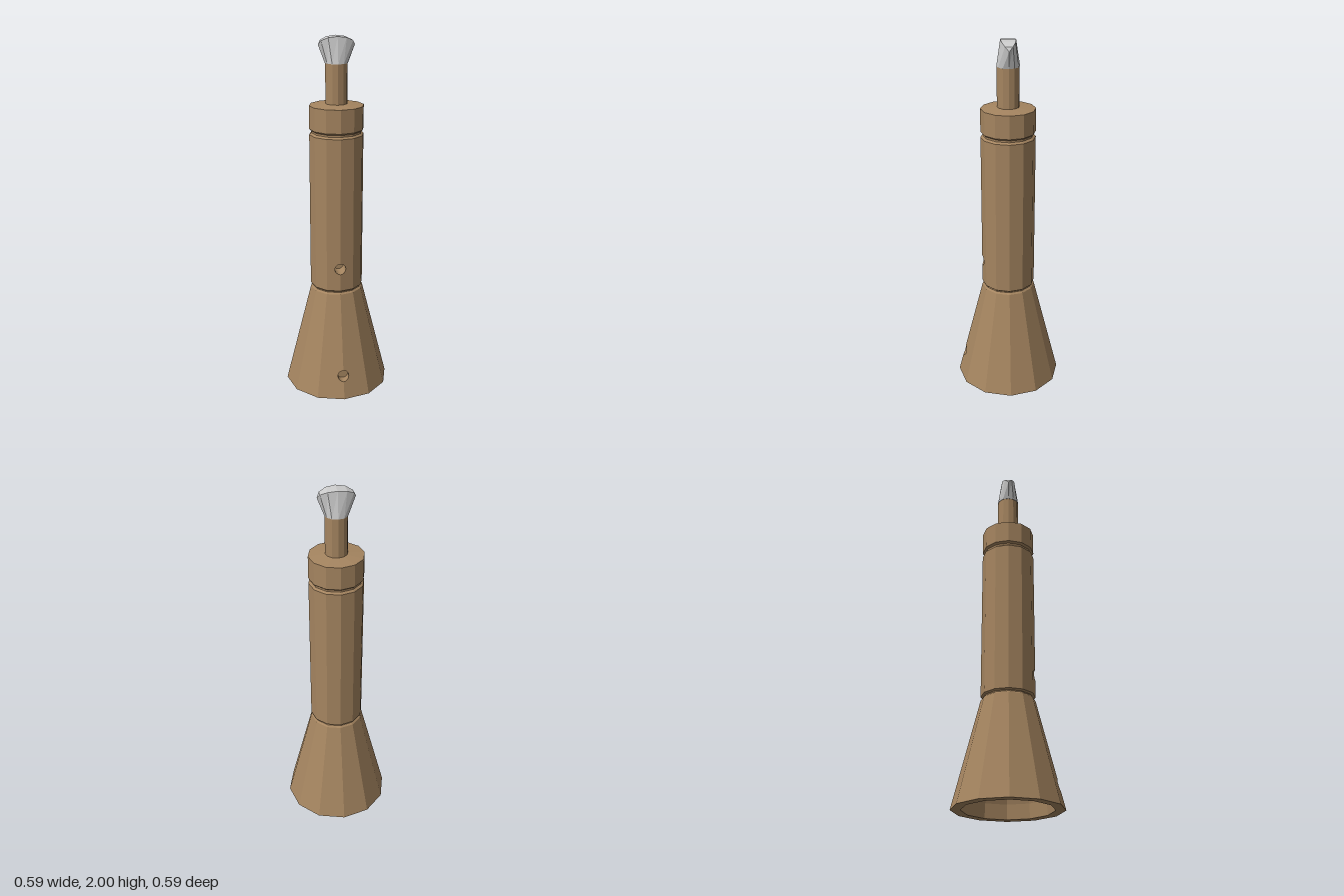
import * as THREE from 'three';

const wood = new THREE.MeshStandardMaterial({ color: 0xa58560 });
wood.name = 'wood';
const reedGrey = new THREE.MeshStandardMaterial({ color: 0xcccccc });
reedGrey.name = 'reedGrey';

const SIDES = 12;

// Mesh with one normal per face
function facetMesh(name, geometry, material) {
  const g = geometry.index ? geometry.toNonIndexed() : geometry;
  g.computeVertexNormals();
  const mesh = new THREE.Mesh(g, material);
  mesh.name = name;
  return mesh;
}

// Turned part; open leaves out the two front facets
function turned(name, profile, open = false) {
  const pts = profile.map(([r, y]) => new THREE.Vector2(r, y));
  const step = Math.PI * 2 / SIDES;
  const geo = open
    ? new THREE.LatheGeometry(pts, SIDES - 2, step, step * (SIDES - 2))
    : new THREE.LatheGeometry(pts, SIDES);
  return facetMesh(name, geo, wood);
}

// Faceted tube section whose front edge is drilled with a finger hole
function drilledSection(name, r0, y0, r1, y1, holeY, floorZ) {
  const group = new THREE.Group();
  group.name = name;
  const R = 0.031, HALF = 12;
  const surfaceZ = (x, y) =>
    r0 + (r1 - r0) * (y - y0) / (y1 - y0) - Math.abs(x) * Math.tan(Math.PI / SIDES);

  group.add(turned(name + 'Wall', [[r0, y0], [r1, y1]], true));

  // Two front facets, each with half of the hole cut out
  for (const s of [1, -1]) {
    const pts = [[0, y0], [r0 / 2, y0], [r1 / 2, y1], [0, y1]];
    for (let i = 0; i <= HALF; i++) {
      const a = Math.PI * i / HALF;
      pts.push([R * Math.sin(a), holeY + R * Math.cos(a)]);
    }
    const shape = new THREE.Shape(pts.map(([x, y]) => new THREE.Vector2(s * x, y)));
    const geo = new THREE.ShapeGeometry(shape);
    const p = geo.attributes.position;
    for (let i = 0; i < p.count; i++) p.setZ(i, surfaceZ(p.getX(i), p.getY(i)));
    group.add(facetMesh(name + 'FrontFacet', geo, wood));
  }

  // Inward-facing hole wall, trimmed to the facets, and its floor
  const bore = new THREE.CylinderGeometry(R, R, 1, HALF * 2, 1, true);
  bore.rotateX(Math.PI / 2).scale(-1, 1, 1).translate(0, holeY, 0);
  const p = bore.attributes.position;
  for (let i = 0; i < p.count; i++) {
    p.setZ(i, p.getZ(i) > 0 ? surfaceZ(p.getX(i), p.getY(i)) : floorZ);
  }
  group.add(facetMesh('fingerHoleWall', bore, wood));
  const floor = new THREE.CircleGeometry(R, HALF * 2).translate(0, holeY, floorZ);
  group.add(facetMesh('fingerHoleFloor', floor, wood));
  return group;
}

// Round at the bottom, flattened and arched at the top
function reed() {
  const pos = [];
  const bottom = [], top = [];
  for (let i = 0; i < SIDES; i++) {
    const a = Math.PI * 2 * i / SIDES;
    const s = Math.sin(a), c = Math.cos(a);
    bottom.push([0.062 * s, 1.86, 0.062 * c]);
    top.push([0.098 * s, 1.955 + 0.045 * Math.abs(c), 0.041 * c]);
  }
  const tri = (a, b, c) => pos.push(...a, ...b, ...c);
  const quad = (a, b, c, d) => { tri(a, b, c); tri(a, c, d); };
  for (let i = 0; i < SIDES; i++) {
    const j = (i + 1) % SIDES;
    quad(bottom[i], bottom[j], top[j], top[i]);
    tri([0, 1.86, 0], bottom[j], bottom[i]);
  }
  // Arched tip: strips from front to back
  const half = SIDES / 2;
  for (let i = -half / 2; i < half / 2; i++) {
    const front = k => top[(k + SIDES) % SIDES];
    const back = k => top[(half - k + SIDES) % SIDES];
    quad(front(i), front(i + 1), back(i + 1), back(i));
  }
  const geo = new THREE.BufferGeometry();
  geo.setAttribute('position', new THREE.Float32BufferAttribute(pos, 3));
  return facetMesh('reed', geo, reedGrey);
}

export function createModel() {
  const model = new THREE.Group();
  model.name = 'woodwindPipe';

  // Flared bell and long body, each with a finger hole
  model.add(drilledSection('bell', 0.297, 0, 0.149, 0.587, 0.13, 0.222));
  model.add(drilledSection('body', 0.149, 0.61, 0.149, 1.48, 0.74, 0.06));

  // Grooves between the sections
  model.add(turned('lowerGroove', [[0.149, 0.587], [0.139, 0.596], [0.139, 0.602], [0.149, 0.61]]));
  model.add(turned('upperGroove', [[0.149, 1.48], [0.137, 1.49], [0.137, 1.5], [0.149, 1.51]]));

  // Collar with a slightly domed top, then the stem
  model.add(turned('collar', [[0.149, 1.51], [0.149, 1.637], [0.06, 1.646]]));
  model.add(turned('stem', [[0.06, 1.64], [0.06, 1.862], [0, 1.862]]));

  // Domed hollow inside the bell, ending in the bottom rim
  const hollow = [];
  for (let i = 0; i <= 7; i++) {
    const a = Math.PI / 2 * i / 7;
    hollow.push([0.243 * Math.sin(a), 0.36 * Math.cos(a)]);
  }
  hollow.push([0.297, 0]);
  model.add(turned('bellHollow', hollow));

  model.add(reed());
  return model;
}
